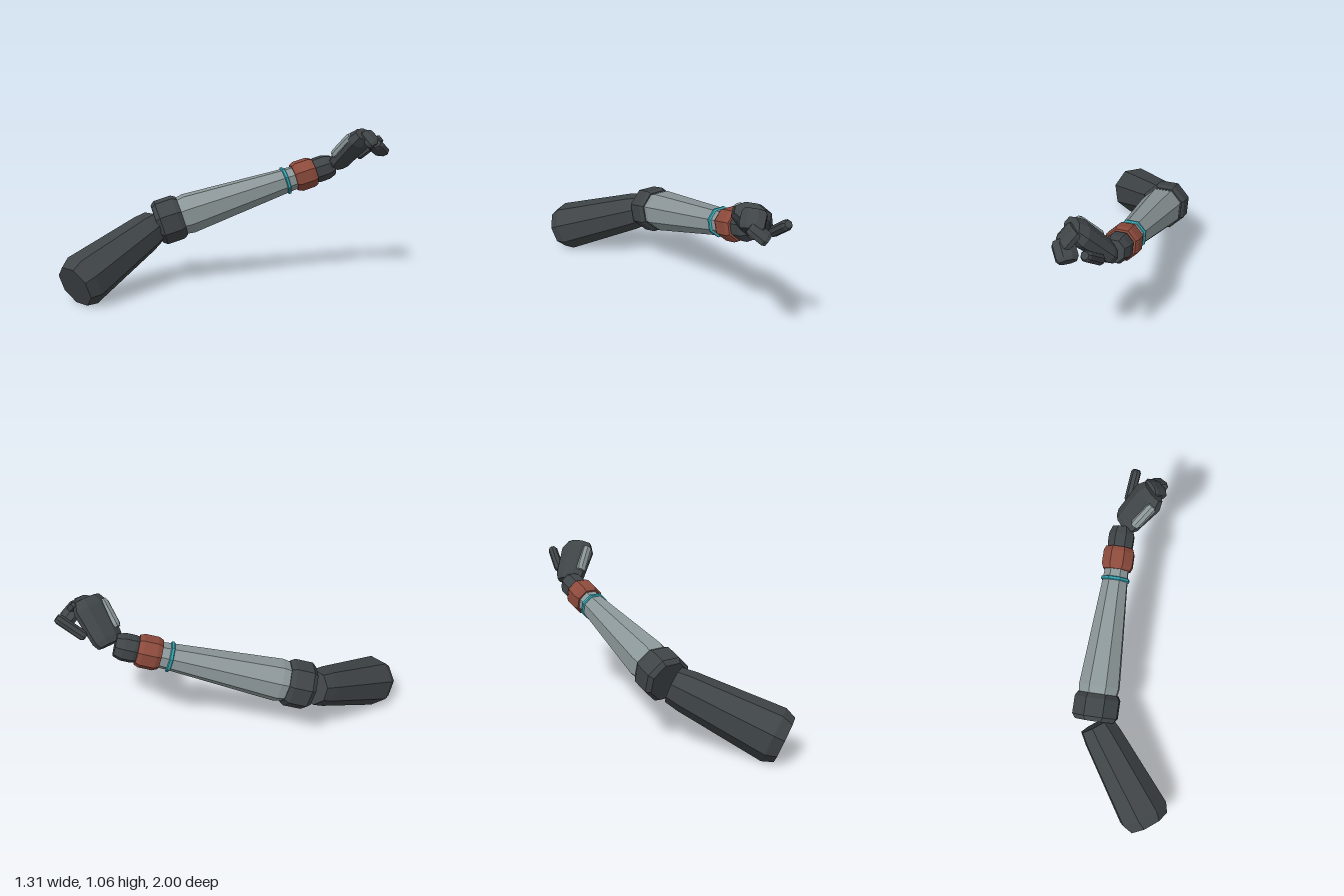
import * as THREE from 'three';

const mat = (name, color) => new THREE.MeshStandardMaterial({ name, color, flatShading: true });

export function createModel() {
  const arm = new THREE.Group();
  arm.name = 'arm';
  const dark = mat('charcoal', 0x3f4447);
  const grey = mat('steelGrey', 0x8c9799);
  const red = mat('rust', 0x8c4a3c);
  const teal = mat('teal', 0x35a5b2);
  const V = (x, y, z) => new THREE.Vector3(x, y, z);
  const up = V(0, 1, 0);

  // Closed eight-sided solid along dir; profile holds [distance, apothem] pairs,
  // ref is the direction of its local z, sx and sz flatten the section.
  function prism(name, material, origin, dir, profile, ref = up, sx = 1, sz = 1) {
    const pts = profile.map(([t, a]) => new THREE.Vector2(a / Math.cos(Math.PI / 8), t));
    pts.unshift(new THREE.Vector2(0, pts[0].y));
    pts.push(new THREE.Vector2(0, pts[pts.length - 1].y));
    const geo = new THREE.LatheGeometry(pts, 8, Math.PI / 8);
    geo.scale(sx, 1, sz);
    const y = dir.clone().normalize();
    const x = y.clone().cross(ref).normalize();
    const z = x.clone().cross(y);
    geo.applyMatrix4(new THREE.Matrix4().makeBasis(x, y, z).setPosition(origin));
    const mesh = new THREE.Mesh(geo, material);
    mesh.name = name;
    arm.add(mesh);
    return mesh;
  }

  // Upper arm, thick end toward the front
  prism('upperArm', dark, V(-0.495, 0.125, 0.95), V(0, 0.37, -0.93),
    [[0, 0.135], [0.07, 0.162], [0.645, 0.122], [0.74, 0.108]]);

  // Elbow, forearm, bands and wrist share one axis
  const elbow = V(-0.44, 0.44, 0.17);
  const axis = V(0.596, 0.292, -0.748);
  prism('elbowCollar', dark, elbow, axis,
    [[-0.09, 0.125], [-0.06, 0.147], [0.06, 0.147], [0.09, 0.13]]);
  prism('forearm', grey, elbow, axis,
    [[0.07, 0.12], [0.14, 0.131], [0.87, 0.08], [0.94, 0.076]]);
  prism('tealBand', teal, elbow, axis,
    [[0.845, 0.084], [0.85, 0.092], [0.865, 0.092], [0.87, 0.084]]);
  prism('wristCuff', red, elbow, axis,
    [[0.92, 0.088], [0.95, 0.101], [1.04, 0.101], [1.07, 0.09]]);
  prism('wrist', dark, elbow, axis,
    [[1.06, 0.074], [1.09, 0.083], [1.16, 0.083], [1.21, 0.066]]);

  // Palm, wide across z and thin across its slope
  const handDir = V(0.7, 0.71, 0);
  const handUp = V(-0.71, 0.7, 0);
  const palm = V(0.415, 0.91, -0.755);
  prism('palm', dark, palm, handDir,
    [[-0.16, 0.078], [-0.12, 0.096], [0.1, 0.112], [0.16, 0.085]], handUp, 1, 0.6);

  // Pale plate on the back of the hand
  prism('handPlate', grey, V(0.405, 0.945, -0.672), handDir,
    [[-0.1, 0.026], [-0.08, 0.034], [0.075, 0.034], [0.095, 0.026]],
    V(-0.4, 0.4, 0.82), 1, 0.8);

  // Curled fingers in two joints
  prism('fingerBase', dark, V(0.515, 1.03, -0.785), V(0.7, -0.71, 0),
    [[0, 0.06], [0.02, 0.072], [0.1, 0.072], [0.12, 0.06]], V(0.71, 0.7, 0), 1, 0.5);
  prism('fingerTips', dark, V(0.59, 0.965, -0.775), V(0, -0.55, -0.83),
    [[0, 0.052], [0.02, 0.063], [0.11, 0.063], [0.13, 0.05]], V(0, 0.83, -0.55), 1, 0.58);

  // Thumb
  prism('thumb', dark, V(0.4, 0.85, -0.865), V(0.13, 0.135, -0.115),
    [[0, 0.022], [0.015, 0.031], [0.195, 0.031], [0.213, 0.022]]);

  return arm;
}
